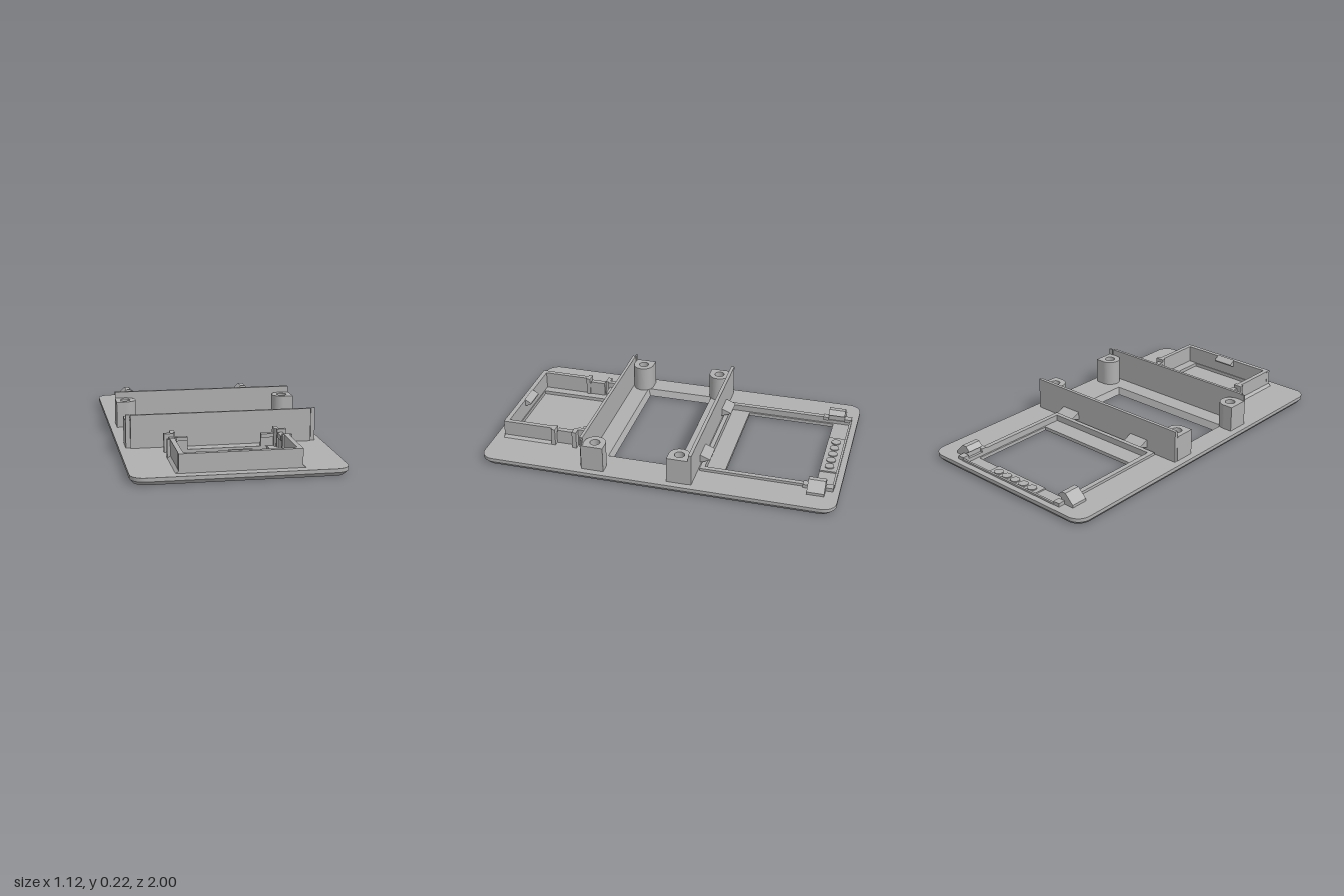
import * as THREE from 'three';

const TOP = 0.04; // upper face of the plate

export function createModel() {
  const model = new THREE.Group();
  model.name = 'enclosurePanel';
  const grey = new THREE.MeshStandardMaterial({ color: 0xb0b0b0 });
  grey.name = 'grey plastic';

  function add(name, geometry) {
    const mesh = new THREE.Mesh(geometry, grey);
    mesh.name = name;
    model.add(mesh);
    return mesh;
  }
  function box(name, x0, x1, y0, y1, z0, z1) {
    const g = new THREE.BoxGeometry(x1 - x0, y1 - y0, z1 - z0);
    g.translate((x0 + x1) / 2, (y0 + y1) / 2, (z0 + z1) / 2);
    return add(name, g);
  }
  // Outline in plan (x, z), raised from y0 to y1
  function slab(shape, y0, y1) {
    const g = new THREE.ExtrudeGeometry(shape, { depth: y1 - y0, bevelEnabled: false, curveSegments: 16 });
    g.rotateX(-Math.PI / 2);
    return g.translate(0, y0, 0);
  }
  const rect = (x0, x1, z0, z1) => new THREE.Path([[x0, -z0], [x1, -z0], [x1, -z1], [x0, -z1]]
    .map(p => new THREE.Vector2(...p)));
  // Profile of (x, y) pairs swept from z0 to z1
  function prismZ(name, points, z0, z1) {
    const g = new THREE.ExtrudeGeometry(new THREE.Shape(points.map(p => new THREE.Vector2(...p))),
      { depth: z1 - z0, bevelEnabled: false });
    return add(name, g.translate(0, 0, z0));
  }
  // Profile of (z, y) pairs swept from x0 to x1
  function prismX(name, points, x0, x1) {
    const g = new THREE.ExtrudeGeometry(new THREE.Shape(points.map(p => new THREE.Vector2(-p[0], p[1]))),
      { depth: x1 - x0, bevelEnabled: false });
    return add(name, g.rotateY(Math.PI / 2).translate(x0, 0, 0));
  }

  // Rounded base plate in two layers: the lower one chamfered, the upper one with recesses
  function plateOutline(holes) {
    const w = 0.56, l = 1, r = 0.075, s = new THREE.Shape();
    s.absarc(w - r, l - r, r, 0, Math.PI / 2);
    s.absarc(-w + r, l - r, r, Math.PI / 2, Math.PI);
    s.absarc(-w + r, -l + r, r, Math.PI, Math.PI * 1.5);
    s.absarc(w - r, -l + r, r, Math.PI * 1.5, Math.PI * 2);
    s.holes.push(...holes);
    return s;
  }
  const middle = [-0.435, 0.36, -0.095, 0.305];
  const lower = slab(plateOutline([rect(-0.345, 0.335, -0.86, -0.355), rect(...middle)]), 0, 0.02);
  const pos = lower.attributes.position;
  for (let i = 0; i < pos.count; i++) {
    const x = pos.getX(i), z = pos.getZ(i);
    if (pos.getY(i) < 0.01 && (Math.abs(x) > 0.48 || Math.abs(z) > 0.9)) {
      pos.setX(i, x * 0.973);
      pos.setZ(i, z * 0.985);
    }
  }
  lower.computeVertexNormals();
  add('basePlateLower', lower);
  add('basePlateUpper', slab(plateOutline([
    rect(-0.355, 0.345, -0.965, -0.25), rect(...middle), rect(-0.24, 0.235, 0.49, 0.915),
  ]), 0.02, TOP));

  // Sloping edges of the middle window
  const [mx0, mx1, mz0, mz1] = middle, b = 0.016;
  prismZ('windowBevelRight', [[mx0, 0], [mx0 + b, 0], [mx0, TOP]], mz0, mz1);
  prismZ('windowBevelLeft', [[mx1, 0], [mx1, TOP], [mx1 - b, 0]], mz0, mz1);
  prismX('windowBevelBack', [[mz0, 0], [mz0 + b, 0], [mz0, TOP]], mx0, mx1);
  prismX('windowBevelFront', [[mz1, 0], [mz1, TOP], [mz1 - b, 0]], mx0, mx1);

  // Cross walls
  box('backCrossWall', -0.52, 0.52, TOP, 0.223, -0.216, -0.197);
  box('frontCrossWall', -0.497, 0.495, TOP, 0.223, 0.405, 0.422);

  // Screw bosses: square outside, rounded towards the middle, with a blind hole
  function boss(name, cx, cz, sx) {
    const r = 0.06, shape = new THREE.Shape(), bore = new THREE.Path();
    shape.moveTo(0, -r);
    shape.absarc(0, 0, r, -Math.PI / 2, Math.PI / 2);
    shape.lineTo(-0.055, r);
    shape.lineTo(-0.055, -r);
    bore.absarc(0, 0, 0.028, 0, Math.PI * 2);
    shape.holes.push(bore);
    const m = add(name, slab(shape, TOP, 0.188));
    if (sx > 0) m.rotation.y = Math.PI;
    m.position.set(cx, 0, cz);
  }
  for (const s of [-1, 1]) {
    boss('backScrewBoss', s * 0.467, -0.137, s);
    boss('frontScrewBoss', s * 0.467, 0.343, s);
    // Square foot of each boss against its wall
    const [a, c] = s < 0 ? [-0.522, -0.5] : [0.5, 0.522];
    box('bossCorner', a, c, TOP, 0.223, 0.4, 0.409);
  }

  // Rear display frame: low rim, panel with discs, wedges and corner clips
  box('rimRight', -0.383, -0.355, TOP, 0.055, -0.8, -0.225);
  box('rimLeft', 0.345, 0.372, TOP, 0.055, -0.8, -0.225);
  box('rimFront', -0.383, 0.372, TOP, 0.055, -0.25, -0.225);
  box('rimBack', -0.35, 0.35, TOP, 0.05, -0.967, -0.955);
  box('rearPanel', -0.18, 0.175, 0.02, 0.028, -0.957, -0.86);
  for (let i = 0; i < 5; i++) {
    const disc = add('panelDisc', new THREE.CylinderGeometry(0.026, 0.026, 0.008, 20));
    disc.position.set(-0.13 + i * 0.064, 0.03, -0.908);
  }
  for (const s of [-1, 1]) {
    const x = s * 0.26;
    prismX('displayWedge', [[-0.216, 0.107], [-0.216, 0.06], [-0.262, 0.078], [-0.272, 0.085]], x - 0.06, x + 0.06);
    prismZ('cornerClip', [[0.36, TOP], [0.443, TOP], [0.443, 0.055], [0.392, 0.105], [0.365, 0.105], [0.34, 0.08], [0.36, 0.07]]
      .map(([px, py]) => [s * px, py]), -0.925, -0.83);
    const [a, c] = s < 0 ? [-0.385, -0.345] : [0.345, 0.385];
    box('clipFoot', a, c, TOP, 0.06, -0.965, -0.925);
    box('clipFoot', a, c, TOP, 0.06, -0.83, -0.8);
  }

  // Front tray, open at the back
  const H = 0.14;
  box('trayFrontWall', -0.317, 0.315, TOP, H, 0.92, 0.947);
  prismX('trayCatch', [[0.922, 0.145], [0.885, 0.122], [0.885, 0.115], [0.922, 0.1]], -0.063, 0.06);
  for (const s of [-1, 1]) {
    const side = (name, x0, x1, y0, y1, z0, z1) =>
      s < 0 ? box(name, -x1, -x0, y0, y1, z0, z1) : box(name, x0, x1, y0, y1, z0, z1);
    side('traySideWall', 0.29, 0.316, TOP, H, 0.655, 0.947);
    prismZ('trayFillet', [[0.314, TOP], [0.332, TOP], [0.314, 0.055]].map(([px, py]) => [s * px, py]), 0.655, 0.947);
    // Spring clip between two posts
    side('clipPost', 0.28, 0.332, TOP, H, 0.632, 0.655);
    side('clipPost', 0.28, 0.332, TOP, H, 0.505, 0.53);
    side('springClip', 0.285, 0.302, TOP, 0.11, 0.54, 0.632);
    side('springClipHead', 0.278, 0.308, 0.1, 0.125, 0.54, 0.625);
    side('rearPost', 0.27, 0.295, TOP, H, 0.455, 0.51);
    side('rearTab', 0.2, 0.272, TOP, 0.1, 0.472, 0.488);
    side('rearTabHead', 0.2, 0.272, 0.09, 0.11, 0.472, 0.502);
  }

  return model;
}
